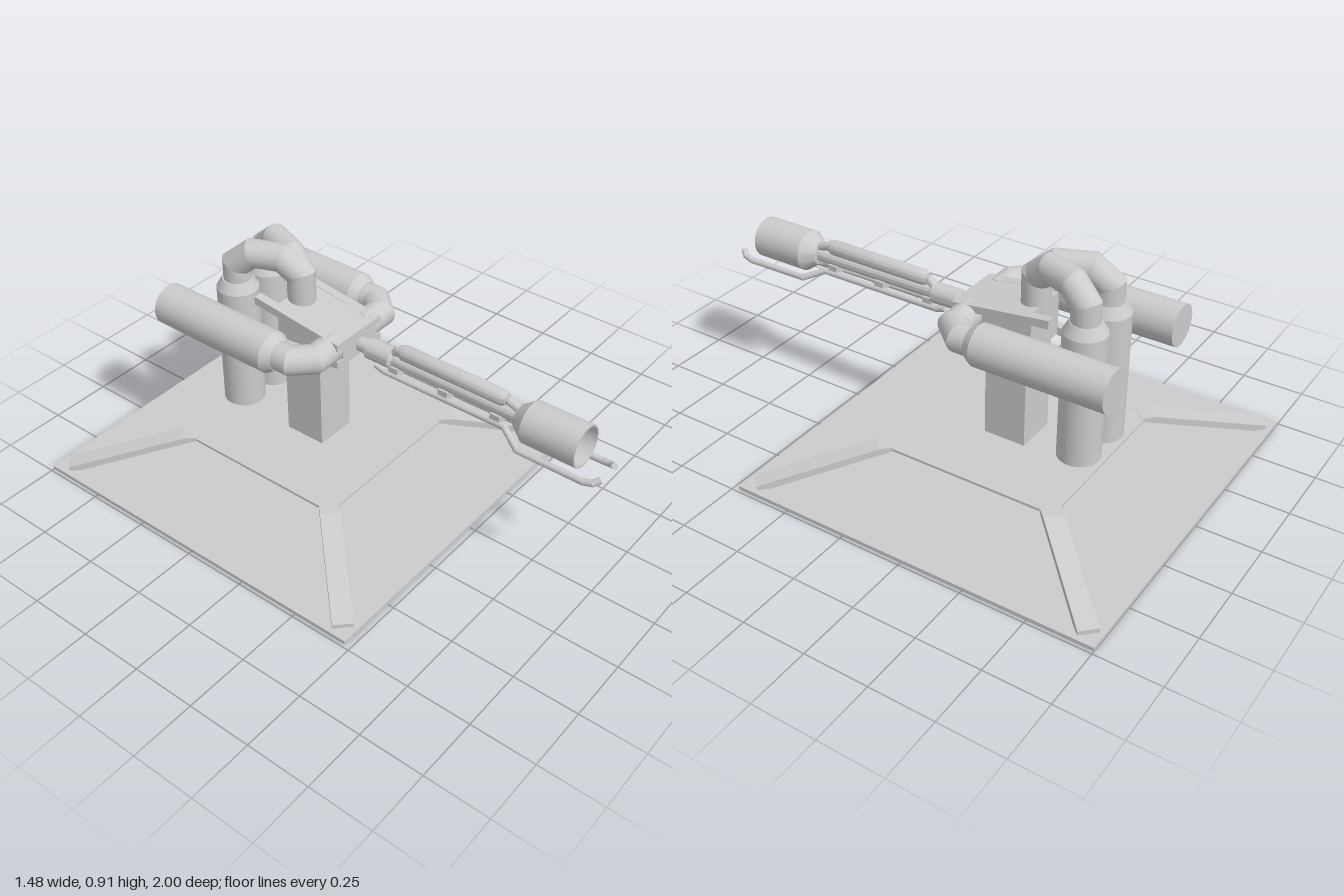
import * as THREE from 'three';
import { toCreasedNormals } from 'three/addons/utils/BufferGeometryUtils.js';

const material = new THREE.MeshStandardMaterial({ color: 0xcccccc });
const V = (p) => new THREE.Vector3(...p);

function add(parent, name, geometry, x = 0, y = 0, z = 0) {
  const mesh = new THREE.Mesh(geometry, material);
  mesh.name = name;
  mesh.position.set(x, y, z);
  parent.add(mesh);
  return mesh;
}

// Turned solid from [radius, height] pairs, listed bottom to top; alongZ lays it down
function turned(points, alongZ = false) {
  const g = new THREE.LatheGeometry(points.map(([r, h]) => new THREE.Vector2(r, h)), 32);
  if (alongZ) g.rotateX(Math.PI / 2);
  return toCreasedNormals(g, 0.5);
}

// Round pipe with mitred joints through a list of points
function pipe(path, radius, sides = 20) {
  const pts = path.map(V);
  const dirs = pts.slice(1).map((p, i) => p.clone().sub(pts[i]).normalize());
  const d0 = dirs[0];
  const u = new THREE.Vector3(Math.abs(d0.x) > 0.9 ? 0 : 1, Math.abs(d0.x) > 0.9 ? 1 : 0, 0);
  u.addScaledVector(d0, -u.dot(d0)).normalize();
  const v = d0.clone().cross(u);
  let ring = [];
  for (let i = 0; i < sides; i++) {
    const a = (i / sides) * Math.PI * 2;
    ring.push(pts[0].clone().addScaledVector(u, radius * Math.cos(a)).addScaledVector(v, radius * Math.sin(a)));
  }
  const pos = [], index = [];
  const push = (list) => {
    const start = pos.length / 3;
    list.forEach((p) => pos.push(p.x, p.y, p.z));
    return start;
  };
  const cap = (center, list, flip) => {
    const s = push([center, ...list]);
    for (let i = 0; i < sides; i++) {
      const a = s + 1 + i, b = s + 1 + ((i + 1) % sides);
      index.push(s, flip ? b : a, flip ? a : b);
    }
  };
  cap(pts[0], ring, true);
  dirs.forEach((d, k) => {
    const end = pts[k + 1];
    const n = d.clone().add(dirs[k + 1] ?? d).normalize();
    const next = ring.map((p) => p.clone().addScaledVector(d, end.clone().sub(p).dot(n) / d.dot(n)));
    const a = push(ring), b = push(next);
    for (let i = 0; i < sides; i++) {
      const j = (i + 1) % sides;
      index.push(a + i, a + j, b + i, a + j, b + j, b + i);
    }
    ring = next;
  });
  cap(pts[pts.length - 1], ring, false);
  const g = new THREE.BufferGeometry();
  g.setAttribute('position', new THREE.Float32BufferAttribute(pos, 3));
  g.setIndex(index);
  g.computeVertexNormals();
  return g;
}

// Flat outline in the (z, y) plane given a width along x
function sideProfile(points, width) {
  const shape = new THREE.Shape(points.map(([z, y]) => new THREE.Vector2(z, y)));
  const g = new THREE.ExtrudeGeometry(shape, { depth: width, bevelEnabled: false });
  g.translate(0, 0, -width / 2);
  return g.rotateY(-Math.PI / 2);
}

function buildBase(group) {
  const base = new THREE.Group();
  base.name = 'base';
  base.position.z = -0.2625;
  group.add(base);
  add(base, 'groundPlate', new THREE.BoxGeometry(1.475, 0.015, 1.475), 0, 0.0075, 0);

  // Raised deck with clipped corners
  const h = 0.368, c = 0.31;
  const outline = [[h, c], [c, h], [-c, h], [-h, c], [-h, -c], [-c, -h], [c, -h], [h, -c]];
  const deck = new THREE.ExtrudeGeometry(
    new THREE.Shape(outline.map(([x, y]) => new THREE.Vector2(x, y))), { depth: 0.01, bevelEnabled: false });
  deck.rotateX(-Math.PI / 2);
  add(base, 'deck', deck, 0, 0.122, 0);

  // Sloping corner legs
  const leg = [[0.47, 0.12], [0.93, 0.015], [0.98, 0.015], [0.98, 0.032], [0.53, 0.134], [0.47, 0.134]];
  for (let i = 0; i < 4; i++) {
    add(base, 'cornerLeg', sideProfile(leg, 0.075)).rotation.y = Math.PI / 4 + (i * Math.PI) / 2;
  }
}

function buildHead(group) {
  add(group, 'pillar', new THREE.BoxGeometry(0.17, 0.44, 0.17), 0, 0.35, -0.255);
  add(group, 'headBlock', sideProfile([[-0.05, 0.565], [-0.05, 0.668], [-0.36, 0.705], [-0.36, 0.53]], 0.19));

  for (const s of [1, -1]) {
    // Braces that spread apart towards the back
    const upper = [[-0.05, 0.64], [-0.05, 0.668], [-0.445, 0.718], [-0.445, 0.685]];
    const lower = upper.map(([z, y]) => [z, 1.234 - y]).reverse();
    add(group, 'upperBrace', sideProfile(upper, 0.035), s * 0.108);
    add(group, 'lowerBrace', sideProfile(lower, 0.035), s * 0.108);

    // Side tank with its elbow into the head
    const sideTank = [[0, -0.77], [0.08, -0.77], [0.08, -0.25], [0.058, -0.215], [0, -0.215]];
    add(group, 'sideTank', turned(sideTank, true), s * 0.25, 0.622, 0);
    add(group, 'sidePipe', pipe([[s * 0.25, 0.622, -0.23], [s * 0.25, 0.622, -0.17],
      [s * 0.19, 0.622, -0.105], [s * 0.08, 0.622, -0.105]], 0.055));

    // Upright tank with its pipe over the top, both merging above the head
    const rearTank = [[0, 0.19], [0.081, 0.19], [0.081, 0.7], [0.058, 0.74], [0, 0.74]];
    add(group, 'rearTank', turned(rearTank), s * 0.085, 0, -0.567);
    add(group, 'rearPipe', pipe([[s * 0.085, 0.72, -0.565], [s * 0.085, 0.8, -0.565],
      [s * 0.065, 0.857, -0.5], [s * 0.022, 0.857, -0.39], [0, 0.8, -0.322], [0, 0.67, -0.322]], 0.054));
  }
}

function buildBarrel(group) {
  const barrel = new THREE.Group();
  barrel.name = 'barrel';
  barrel.position.set(0.009, 0.605, 0);
  group.add(barrel);

  add(barrel, 'barrelCore', turned([[0, -0.06], [0.028, -0.06], [0.028, -0.01], [0.04, -0.005], [0.04, 0.1],
    [0.027, 0.11], [0.027, 0.66], [0, 0.66]], true));

  // Open muzzle cup
  add(barrel, 'muzzle', turned([[0, 0.63], [0.042, 0.64], [0.08, 0.69], [0.08, 0.905], [0.073, 0.905],
    [0.073, 0.71], [0, 0.71]], true));

  // Upper cylinder with bent feed at each end
  add(barrel, 'upperCylinder', turned([[0, 0.13], [0.022, 0.13], [0.03, 0.15], [0.03, 0.57],
    [0.022, 0.59], [0, 0.59]], true), 0, 0.047, 0);
  add(barrel, 'upperFeed', pipe([[0, 0, 0.08], [0, 0.045, 0.125], [0, 0.045, 0.6], [0, 0.02, 0.67]], 0.017, 12));

  // Lower rails spreading into curled prongs
  for (const s of [1, -1]) {
    add(barrel, 'prongRail', pipe([[s * 0.025, -0.04, 0.04], [s * 0.025, -0.052, 0.08], [s * 0.025, -0.052, 0.6],
      [s * 0.066, -0.087, 0.68], [s * 0.068, -0.087, 0.94], [s * 0.062, -0.08, 0.975],
      [s * 0.045, -0.068, 0.995]], 0.0125, 12));
  }
  for (const z of [0.12, 0.34, 0.56]) {
    add(barrel, 'railBracket', new THREE.BoxGeometry(0.06, 0.035, 0.04), 0, -0.035, z);
  }
}

export function createModel() {
  const group = new THREE.Group();
  group.name = 'model';
  buildBase(group);
  buildHead(group);
  buildBarrel(group);
  return group;
}
